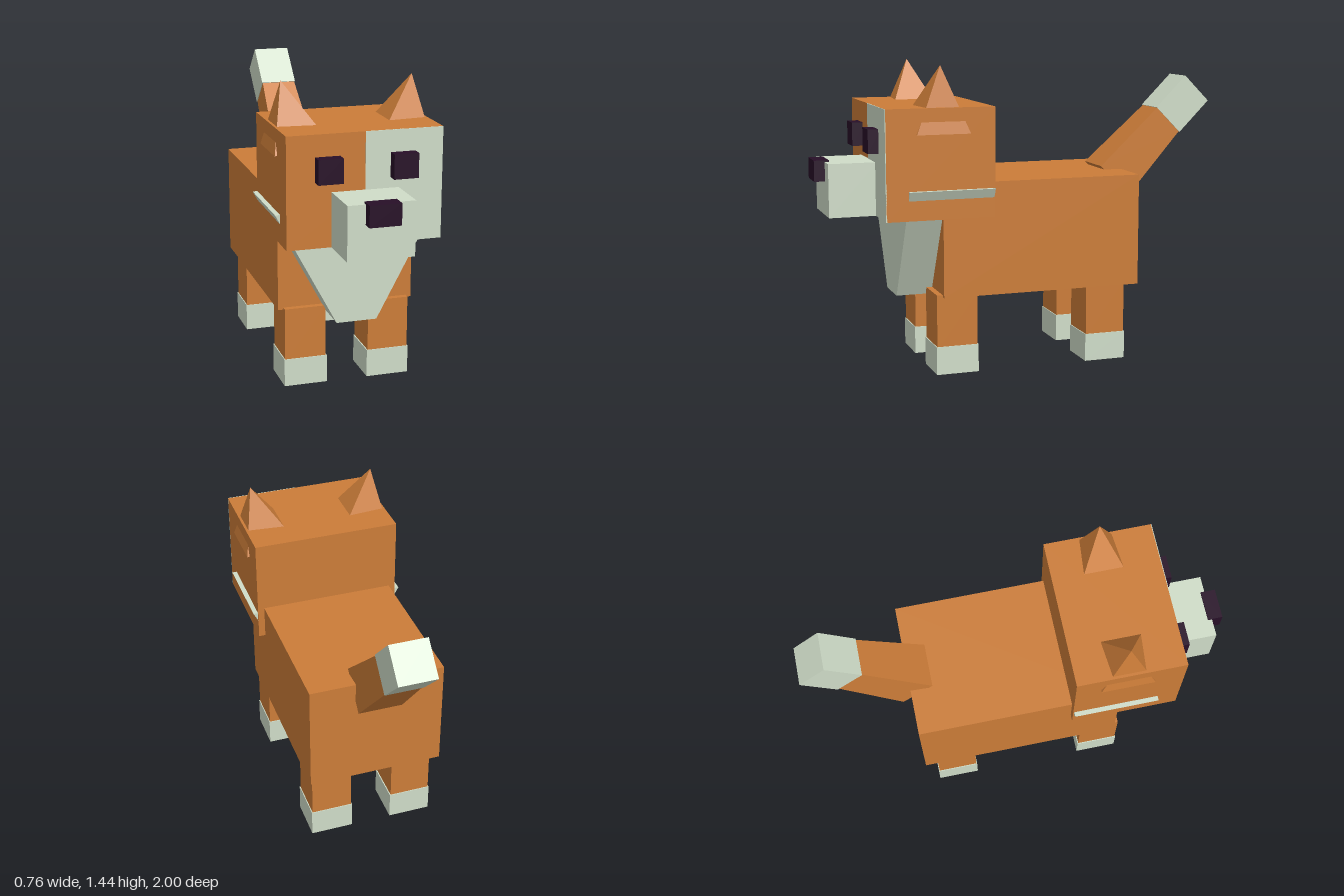
import * as THREE from 'three';

const material = (name, color) => {
  const m = new THREE.MeshStandardMaterial({ color });
  m.name = name;
  return m;
};

export function createModel() {
  const orange = material('orange fur', 0xcb7c38);
  const pale = material('pale fur', 0xcfdcc8);
  const dark = material('dark nose and eyes', 0x270f27);
  const model = new THREE.Group();
  model.name = 'blockyDog';

  const add = (name, geometry, mat, parent = model) => {
    const mesh = new THREE.Mesh(geometry, mat);
    mesh.name = name;
    parent.add(mesh);
    return mesh;
  };
  // box given by its lower and upper limits on each axis
  const box = (name, mat, [x0, x1], [y0, y1], [z0, z1]) =>
    add(name, new THREE.BoxGeometry(x1 - x0, y1 - y0, z1 - z0), mat)
      .position.set((x0 + x1) / 2, (y0 + y1) / 2, (z0 + z1) / 2);
  // square column tapering from half-width b at the bottom to t at the top
  const taper = (t, b, h) => {
    const g = new THREE.CylinderGeometry(t * Math.SQRT2, b * Math.SQRT2, h, 4).toNonIndexed();
    g.rotateY(Math.PI / 4);
    g.computeVertexNormals();
    return g;
  };

  // body and head
  box('body', orange, [-0.325, 0.325], [0.37, 0.905], [-0.52, 0.455]);
  box('head', orange, [-0.357, 0.357], [0.745, 1.255], [0.215, 0.728]);
  box('facePatch', pale, [0, 0.357], [0.745, 1.255], [0.726, 0.731]);
  box('muzzle', pale, [-0.153, 0.153], [0.745, 0.995], [0.72, 0.95]);
  box('nose', dark, [-0.072, 0.072], [0.905, 1.003], [0.93, 1.0]);

  // chest ruff, whose upper corners poke out as cheek tufts
  const ruff = new THREE.Shape([[-0.38, 0.88], [-0.095, 0.345], [0.095, 0.345], [0.38, 0.88]]
    .map(([x, y]) => new THREE.Vector2(x, y)));
  add('chestRuff', new THREE.ExtrudeGeometry(ruff, { depth: 0.405, bevelEnabled: false }), pale)
    .position.z = 0.22;

  for (const [side, s] of [['left', 1], ['right', -1]]) {
    const span = (a, b) => (s > 0 ? [a, b] : [-b, -a]);
    box(side + 'Eye', dark, span(0.115, 0.228), [1.043, 1.155], [0.72, 0.78]);

    // outward-leaning pyramid ear
    const ear = add(side + 'Ear', taper(0, 0.126, 0.288), orange);
    ear.position.set(s * 0.276, 1.303, 0.46);
    ear.rotation.z = -s * 0.2155;

    // legs with slightly wider paws
    for (const [end, z] of [['Front', 0.385], ['Back', -0.36]]) {
      box(side + end + 'Leg', orange, span(0.104, 0.3), [0.12, 0.38], [z - 0.098, z + 0.098]);
      box(side + end + 'Paw', pale, span(0.099, 0.304), [0, 0.133], [z - 0.102, z + 0.102]);
    }
  }

  // raised tail leaning back, with a pale block at its tip
  const tail = new THREE.Group();
  tail.name = 'tail';
  tail.position.set(0, 0.848, -0.489);
  tail.rotation.x = -Math.PI / 4;
  model.add(tail);
  add('tailBase', taper(0.086, 0.106, 0.416), orange, tail).position.y = 0.208;
  add('tailTip', new THREE.BoxGeometry(0.18, 0.218, 0.18), pale, tail).position.y = 0.522;

  return model;
}
